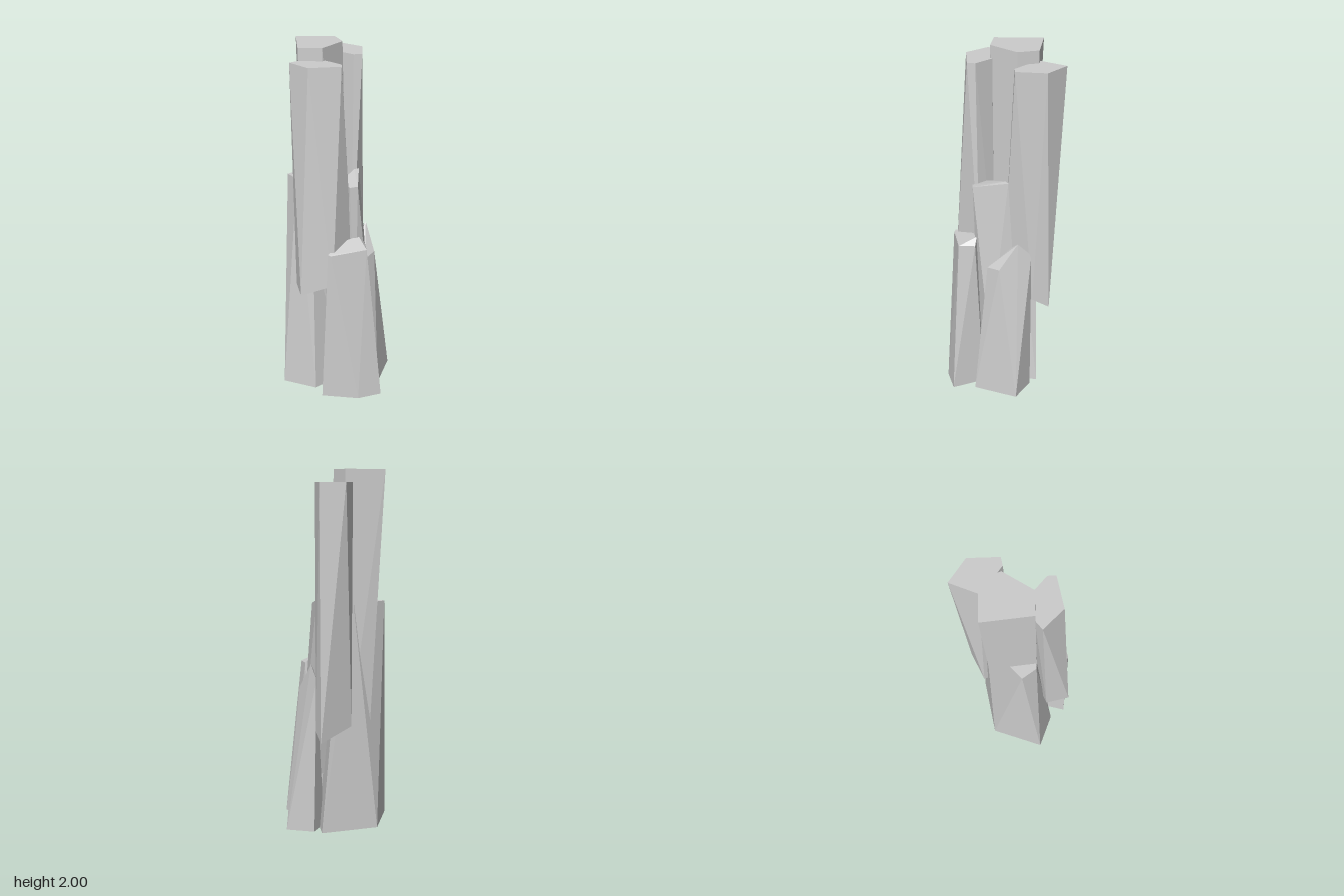
import * as THREE from 'three';
import { ConvexGeometry } from 'three/addons/geometries/ConvexGeometry.js';

// Each shard is a faceted prism between a lower and an upper ring of [x, y, z] corners.
const level = (y, ring) => ring.map(([x, z]) => [x, y, z]);

const shards = {
  // tallest shard, at the back
  tallColumn: [
    level(0, [[-0.06, -0.2], [0.095, -0.14], [0.06, 0.02], [-0.1, 0.03], [-0.2, 0]]),
    level(2, [[-0.11, -0.31], [0.08, -0.205], [0.065, -0.085], [-0.1, 0.005], [-0.215, -0.06]]),
  ],
  // raised shards whose lower ends hang clear of the ground
  rightColumn: [
    [[-0.305, 0.65, 0.13], [-0.14, 0.7, 0.203], [0.03, 0.7, 0.12], [0, 0.7, 0.02], [-0.27, 0.66, 0]],
    level(1.93, [[-0.27, -0.05], [-0.21, -0.06], [-0.08, 0], [-0.04, 0.11], [-0.06, 0.15], [-0.23, 0.095]]),
  ],
  leftColumn: [
    [[0.255, 0.525, -0.215], [0.225, 0.575, -0.125], [0.08, 0.58, 0], [0.04, 0.58, -0.1], [0.06, 0.6, -0.235]],
    level(1.93, [[0.17, -0.325], [0.24, -0.185], [0.16, -0.035], [0.115, -0.05], [0.075, -0.135], [0.045, -0.225]]),
  ],
  // sloping shard in the middle
  middleShard: [
    level(0.3, [[0.16, 0.11], [0.2, -0.05], [0.05, -0.03], [0, 0.05], [0.04, 0.13]]),
    [[-0.02, 1.25, 0.055], [0.055, 1.27, 0.02], [0.1, 1.285, -0.01], [0.132, 1.285, -0.012], [0.035, 1.25, 0.16], [-0.005, 1.245, 0.145]],
  ],
  // short shards standing around the foot
  frontShard: [
    level(0, [[-0.2, 0.185], [-0.03, 0.305], [0.11, 0.32], [0.105, 0.13], [-0.1, 0.08]]),
    [[-0.165, 0.895, 0.195], [-0.155, 0.89, 0.208], [0.045, 0.905, 0.25], [0.08, 0.905, 0.165], [0.05, 0.945, 0.145], [-0.06, 0.93, 0.14]],
  ],
  leftShard: [
    level(0, [[0.155, 0.2], [0.328, 0.012], [0.23, -0.115], [0.1, -0.04], [0.105, 0.12]]),
    [[0.115, 0.775, 0.105], [0.195, 0.79, 0.065], [0.197, 0.935, -0.045], [0.215, 0.86, -0.12], [0.16, 0.9, -0.02]],
  ],
  backShard: [
    level(0, [[-0.33, -0.065], [-0.1, -0.27], [0.21, -0.165], [0.1, 0.02], [-0.2, 0.09]]),
    level(1.27, [[-0.245, -0.15], [-0.175, -0.165], [0.03, -0.215], [0.02, -0.1], [-0.16, -0.02], [-0.235, -0.055]]),
  ],
};

// Hull of both rings, left open underneath.
function shardGeometry([lower, upper]) {
  const hull = new ConvexGeometry([...lower, ...upper].map((p) => new THREE.Vector3(...p)));
  const pos = hull.getAttribute('position');
  const lowerTop = Math.max(...lower.map((p) => p[1])) + 0.001;
  const kept = [];
  for (let i = 0; i < pos.count; i += 3) {
    const face = [i, i + 1, i + 2];
    if (face.some((v) => pos.getY(v) > lowerTop)) kept.push(...face);
  }
  hull.setIndex(kept);
  return hull.toNonIndexed();
}

export function createModel() {
  const model = new THREE.Group();
  model.name = 'rockPillar';
  const stone = new THREE.MeshStandardMaterial({ color: 0xcccccc, flatShading: true, side: THREE.DoubleSide });

  for (const [name, rings] of Object.entries(shards)) {
    const shard = new THREE.Mesh(shardGeometry(rings), stone);
    shard.name = name;
    model.add(shard);
  }
  return model;
}
